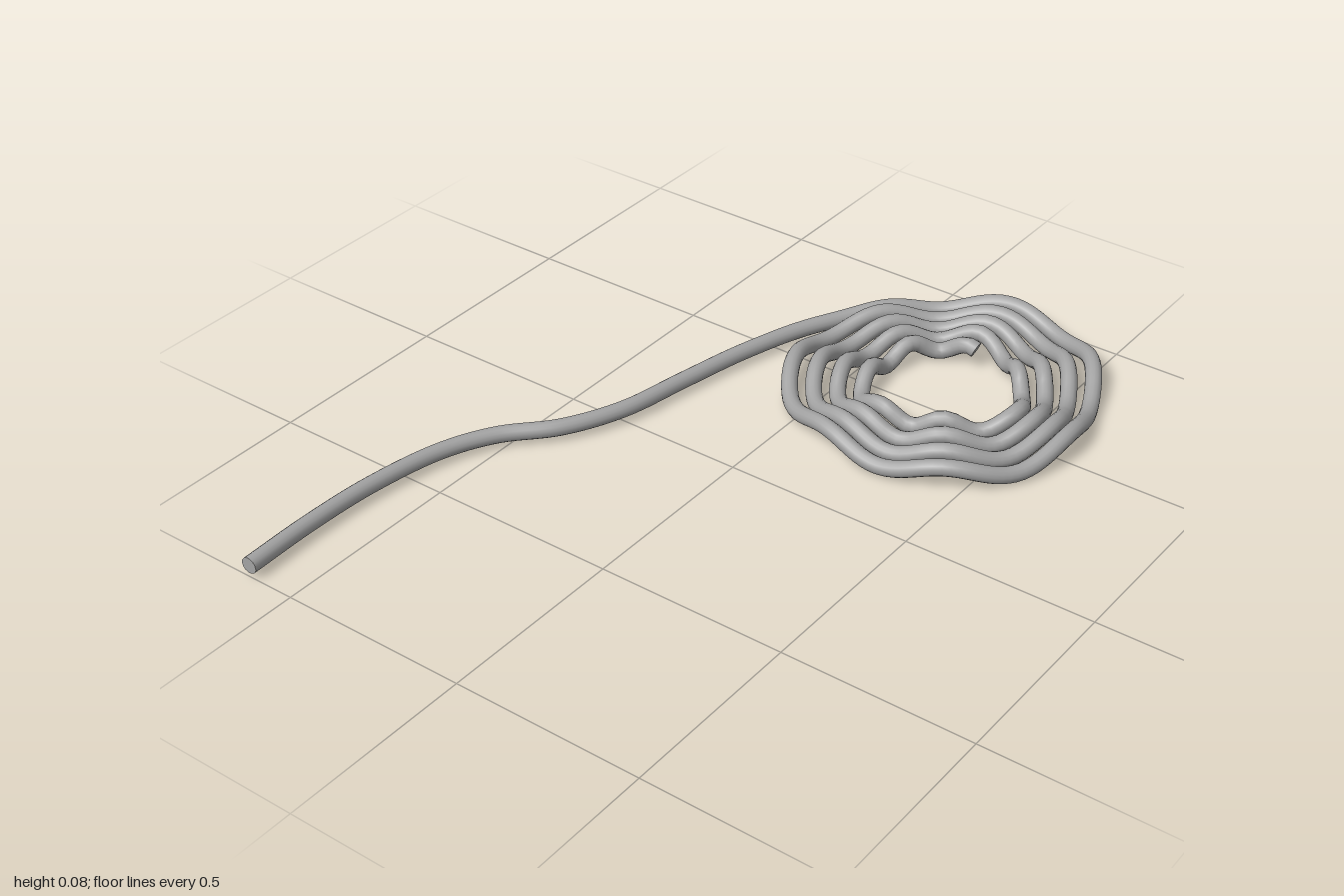
import * as THREE from 'three';

const RADIUS = 0.0215;
const SIDES = 14;

// Plan (x, z) of the loose tail, running into the coil
const TAIL = [
  [-1, -0.627], [-0.8, -0.632], [-0.6, -0.622], [-0.4, -0.583], [-0.27, -0.52],
  [-0.15, -0.415], [0, -0.342], [0.2, -0.3], [0.4, -0.256], [0.6, -0.187], [0.79, -0.068], [0.91, 0.07],
];
// Plan of the outermost and innermost turns at eight matching places
const OUTER = [[0.977, 0.25], [0.87, 0.49], [0.53, 0.622], [0.29, 0.53], [0.188, 0.28], [0.29, -0.03], [0.52, -0.135], [0.75, -0.045]];
const INNER = [[0.8, 0.21], [0.73, 0.35], [0.54, 0.47], [0.425, 0.37], [0.37, 0.19], [0.41, 0.1], [0.52, 0.064], [0.665, 0.093]];
const TURNS = 4;

function ropeCurve() {
  const plan = [...TAIL];
  for (let turn = 0; turn < TURNS; turn++) {
    const k = turn / (TURNS - 1);
    OUTER.forEach(([x, z], i) => {
      plan.push([x + (INNER[i][0] - x) * k, z + (INNER[i][1] - z) * k]);
    });
  }
  plan.push([0.722, 0.155], [0.733, 0.235]);

  // Lay the coil in gentle waves; the tail stays level
  const spline = new THREE.CatmullRomCurve3(plan.map(([x, z]) => new THREE.Vector3(x, 0, z)));
  const steps = 360;
  const points = spline.getPoints(steps);
  points.forEach((p, i) => {
    const station = (i / steps) * (plan.length - 1);
    const weight = THREE.MathUtils.smoothstep(station, 9, 11);
    const angle = Math.atan2(p.z - 0.24, p.x - 0.56);
    const wave = 0.04 + 0.0175 * Math.cos(7 * (angle + 0.15));
    p.y = THREE.MathUtils.lerp(0.033, wave, weight);
  });
  return new THREE.CatmullRomCurve3(points);
}

export function createModel() {
  const model = new THREE.Group();
  model.name = 'coiledRope';
  const grey = new THREE.MeshStandardMaterial({ color: 0xa3a3a3 });
  grey.name = 'rope grey';

  const curve = ropeCurve();
  const rope = new THREE.Mesh(new THREE.TubeGeometry(curve, 480, RADIUS, SIDES, false), grey);
  rope.name = 'rope';
  model.add(rope);

  // Flat cut ends
  for (const [name, t, sign] of [['tailEnd', 0, -1], ['coilEnd', 1, 1]]) {
    const cap = new THREE.Mesh(new THREE.CircleGeometry(RADIUS, SIDES), grey);
    cap.name = name;
    const end = curve.getPoint(t);
    cap.position.copy(end);
    cap.lookAt(end.clone().addScaledVector(curve.getTangent(t), sign));
    model.add(cap);
  }
  return model;
}
